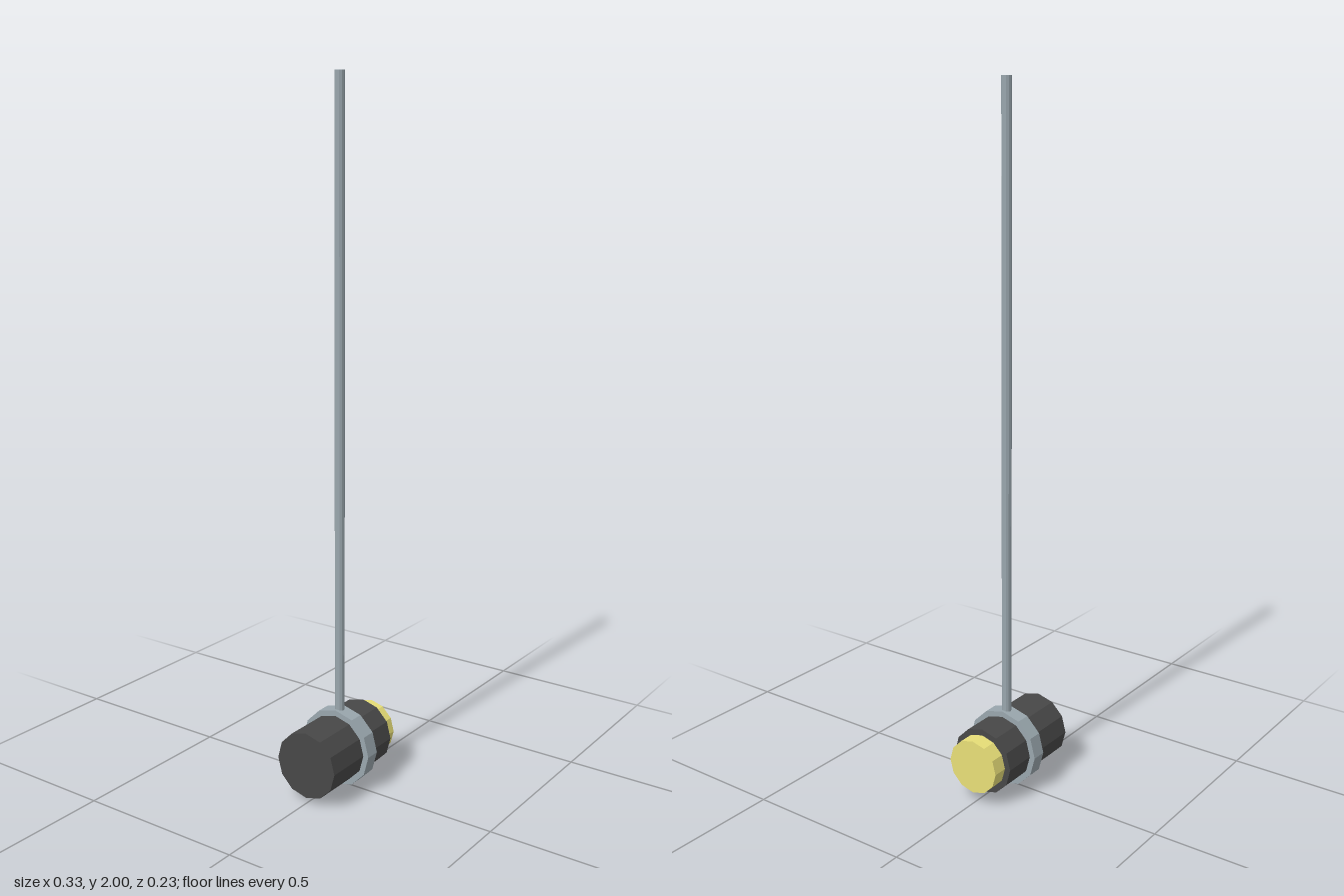
import * as THREE from 'three';

const SIDES = 12;
const AXIS_Y = 0.115;

const material = (color) => new THREE.MeshStandardMaterial({ color, flatShading: true });

// Horizontal faceted drum running from x0 to x1
function drum(name, radius, x0, x1, mat) {
  const geometry = new THREE.CylinderGeometry(radius, radius, x1 - x0, SIDES);
  geometry.rotateZ(-Math.PI / 2);
  const mesh = new THREE.Mesh(geometry, mat);
  mesh.name = name;
  mesh.position.set((x0 + x1) / 2, AXIS_Y, 0);
  return mesh;
}

export function createModel() {
  const model = new THREE.Group();
  model.name = 'hangingSpotlight';

  const metal = material(0x9aa7ae);
  const dark = material(0x484848);
  const glow = material(0xe8df78);

  // Lamp housing, clamp band around it, and the lens at its left end
  model.add(
    drum('housing', 0.098, -0.164, 0.119, dark),
    drum('clampBand', 0.115, -0.022, 0.022, metal),
    drum('lens', 0.08, 0.11, 0.164, glow)
  );

  // Suspension rod rising from the clamp band
  const bottom = 0.2;
  const rod = new THREE.Mesh(new THREE.CylinderGeometry(0.014, 0.014, 2 - bottom, SIDES), metal);
  rod.name = 'suspensionRod';
  rod.position.y = (2 + bottom) / 2;
  model.add(rod);

  return model;
}
